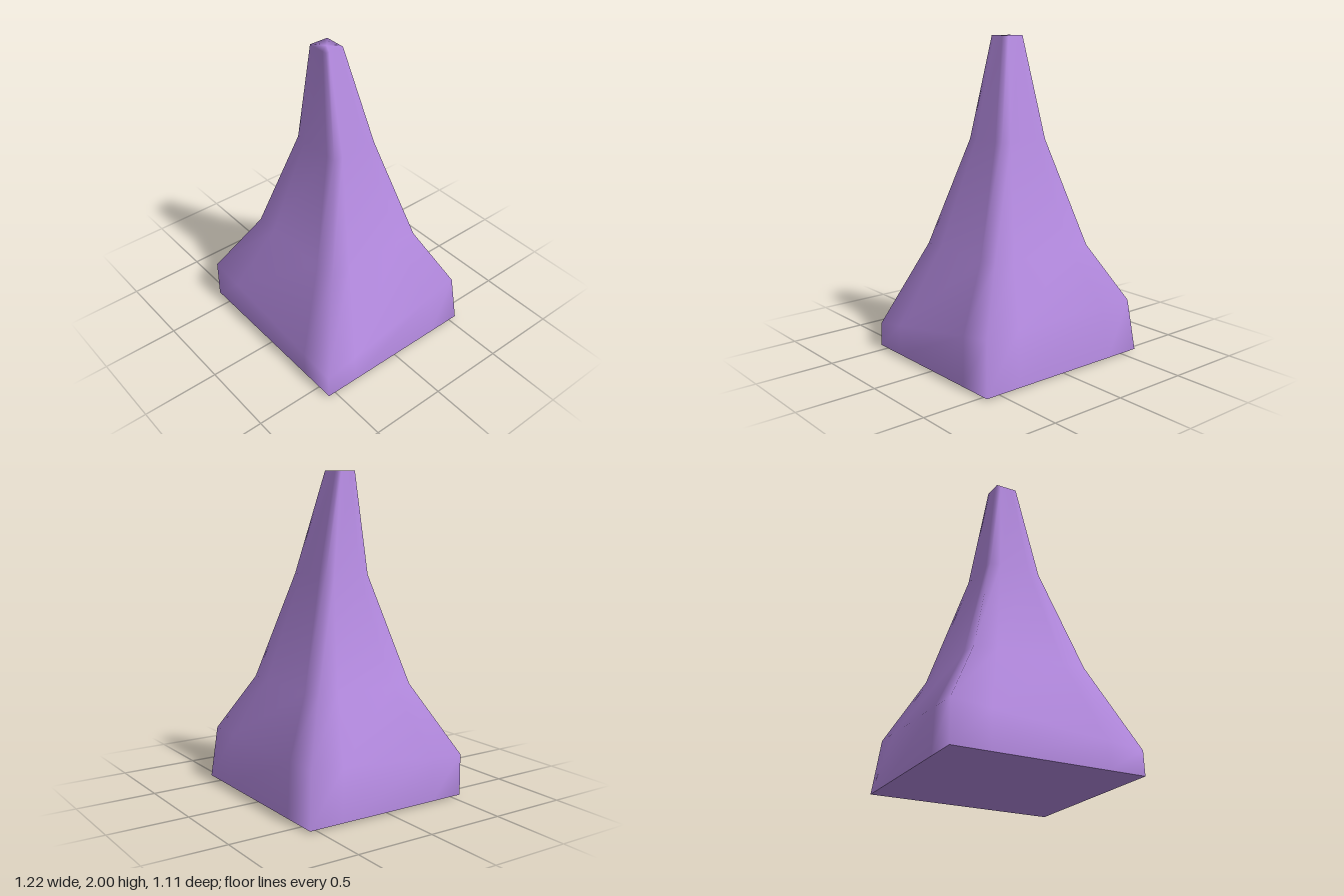
import * as THREE from 'three';

// Four corners of each level, in order: front left, back left, back right, front right
const box = (y, x0, x1, z0, z1) => [[x1, y, z1], [x1, y, z0], [x0, y, z0], [x0, y, z1]];
const levels = [
  box(0.01, -0.61, 0.605, -0.55, 0.555),
  // uneven shoulder of the base
  [[0.6, 0.16, 0.555], [0.575, 0.34, -0.515], [-0.57, 0.34, -0.515], [-0.61, 0.27, 0.555]],
  box(0.7, -0.37, 0.37, -0.335, 0.335),
  box(1.37, -0.175, 0.17, -0.155, 0.155),
  box(2, -0.105, 0.035, -0.02, 0.105),
];

// Each side is split near its corners so the smooth shading stays close to the ridges
const steps = [0, 0.2, 0.8];
const ringOf = (corners) => corners.flatMap((a, i) => {
  const b = corners[(i + 1) % 4];
  return steps.map((t) => a.map((v, k) => v + (b[k] - v) * t));
});

function geometryFrom(points, index) {
  const g = new THREE.BufferGeometry();
  g.setAttribute('position', new THREE.Float32BufferAttribute(points.flat(), 3));
  g.setIndex(index);
  g.computeVertexNormals();
  return g;
}

export function createModel() {
  const group = new THREE.Group();
  group.name = 'taperedSpire';
  const material = new THREE.MeshStandardMaterial({ color: 0xb48ae0 });
  const rings = levels.map(ringOf);
  const n = rings[0].length;

  // Walls and the small softened top
  const index = [];
  for (let r = 0; r < rings.length - 1; r++) {
    for (let i = 0; i < n; i++) {
      const a = r * n + i, b = r * n + (i + 1) % n;
      index.push(a, b, b + n, a, b + n, a + n);
    }
  }
  const top = (rings.length - 1) * n, centre = rings.length * n;
  for (let i = 0; i < n; i++) index.push(top + i, top + (i + 1) % n, centre);
  const body = new THREE.Mesh(geometryFrom([...rings.flat(), [-0.035, 2, 0.0425]], index), material);
  body.name = 'body';

  // Flat underside with its own normals for a sharp edge
  const under = [];
  for (let i = 0; i < n; i++) under.push((i + 1) % n, i, n);
  const base = new THREE.Mesh(geometryFrom([...rings[0], [0, 0, 0]], under), material);
  base.name = 'underside';

  group.add(body, base);
  return group;
}
